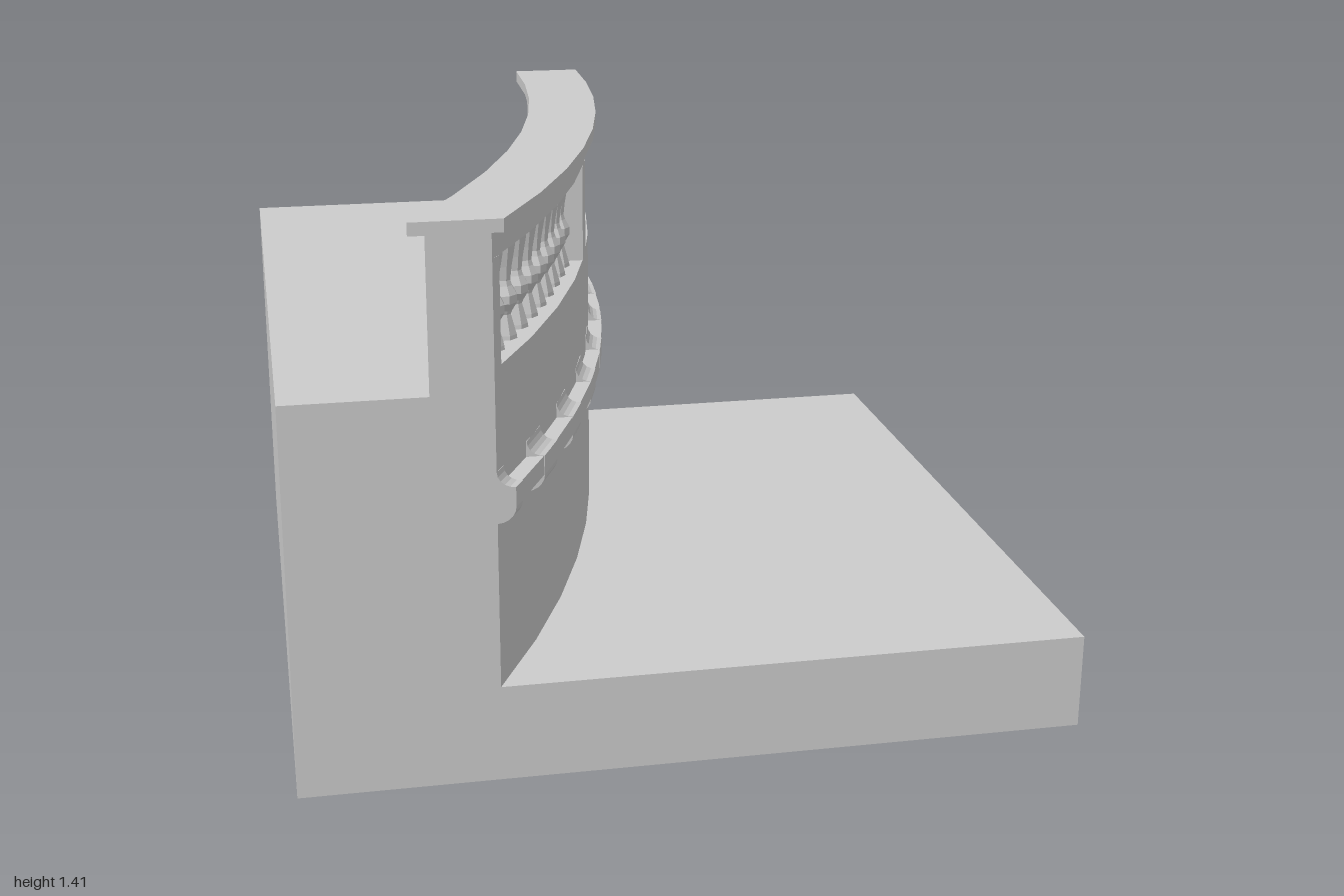
import * as THREE from 'three';

const R = 4.25;      // radius of the wall's front face, arc centre at x = -R, z = -1
const BACK = -0.133; // wall thickness, measured inwards from the front face
const OUTER = -9;    // profile value that stands for the straight side at x = -1

const material = new THREE.MeshStandardMaterial({ color: 0xcccccc, flatShading: true });

function add(group, name, geometry) {
  const mesh = new THREE.Mesh(geometry, material);
  mesh.name = name;
  group.add(mesh);
  return mesh;
}

// Extrude a profile of [radial offset, y] points along z and bend it onto the arc.
function bentBar(profile, z0, z1, shiftZ = (off, z) => z) {
  const shape = new THREE.Shape(profile.map(p => new THREE.Vector2(p[0], p[1])));
  const steps = Math.max(1, Math.round((z1 - z0) / 0.25));
  const g = new THREE.ExtrudeGeometry(shape, { depth: z1 - z0, steps, bevelEnabled: false });
  g.translate(0, 0, z0);
  const p = g.attributes.position;
  for (let i = 0; i < p.count; i++) {
    const off = p.getX(i);
    const z = shiftZ(off, p.getZ(i));
    const x = off === OUTER ? -1 : Math.sqrt((R + off) ** 2 - (z + 1) ** 2) - R;
    p.setXYZ(i, x, p.getY(i), z);
  }
  g.computeVertexNormals();
  return g;
}

const rect = (a, b, y0, y1) => [[a, y0], [b, y0], [b, y1], [a, y1]];

// Corbel section: quarter round below, straight face, cove above.
function corbelProfile() {
  const pts = [[-0.02, 0.675]];
  const n = 5;
  for (let i = 0; i <= n; i++) {
    const t = (i / n) * Math.PI / 2;
    pts.push([0.04 * Math.sin(t), 0.715 - 0.04 * Math.cos(t)]);
  }
  for (let i = 0; i <= n; i++) {
    const t = (i / n) * Math.PI / 2;
    pts.push([0.04 - 0.04 * Math.sin(t), 0.805 - 0.04 * Math.cos(t)]);
  }
  pts.push([-0.02, 0.805]);
  return pts;
}

export function createModel() {
  const model = new THREE.Group();
  model.name = 'curvedTerraceWall';

  // Ground slab and raised terrace
  add(model, 'groundSlab', new THREE.BoxGeometry(2, 0.25, 2)).position.y = 0.125;
  add(model, 'terrace', bentBar(rect(OUTER, 0, 0.25, 1), -1, 1));

  // Parapet: rails, piers between the openings, and cap
  add(model, 'parapetLowerRail', bentBar(rect(BACK, 0, 1, 1.055), -1, 1));
  add(model, 'parapetUpperRail', bentBar(rect(BACK, 0, 1.318, 1.38), -1, 1));
  add(model, 'backPier', bentBar(rect(BACK, 0, 1.055, 1.318), -1, -0.945));
  add(model, 'middlePier', bentBar(rect(BACK, 0, 1.055, 1.318), -0.05, 0.05,
    (off, z) => (z < 0 && off < -0.1 ? -0.077 : z)));
  add(model, 'frontPier', bentBar(rect(BACK, 0, 1.055, 1.318), 0.96, 1));
  add(model, 'cap', bentBar(rect(-0.167, 0.025, 1.38, 1.412), -1, 1));

  // String course with evenly spaced corbels, cut off at both ends
  add(model, 'stringCourse', bentBar(rect(-0.02, 0.04, 0.715, 0.765), -1, 1));
  const corbels = new THREE.Group();
  corbels.name = 'corbels';
  model.add(corbels);
  for (let i = 0; i < 8; i++) {
    const z = -1 + 4.27 * Math.sin(0.0045 + 0.0695 * i);
    add(corbels, 'corbel',
      bentBar(corbelProfile(), Math.max(-1, z - 0.055), Math.min(1, z + 0.055)));
  }

  // Turned balusters following the arc: 9 behind, 10 in front
  const profile = [
    [0.036, 1.05], [0.034, 1.065], [0.020, 1.115], [0.024, 1.125], [0.036, 1.145],
    [0.036, 1.165], [0.024, 1.187], [0.020, 1.2], [0.024, 1.235], [0.033, 1.285], [0.037, 1.32],
  ].map(([r, y]) => new THREE.Vector2(r, y));
  const balusterGeometry = new THREE.LatheGeometry(profile, 8);
  const balusters = new THREE.Group();
  balusters.name = 'balusters';
  model.add(balusters);
  const mid = R + BACK / 2;
  for (const [start, count] of [[0.026, 9], [0.2648, 10]]) {
    for (let i = 0; i < count; i++) {
      const a = start + 0.0234 * i;
      const b = add(balusters, 'baluster', balusterGeometry);
      b.position.set(mid * Math.cos(a) - R, 0, mid * Math.sin(a) - 1);
      b.rotation.y = -a;
    }
  }
  return model;
}
